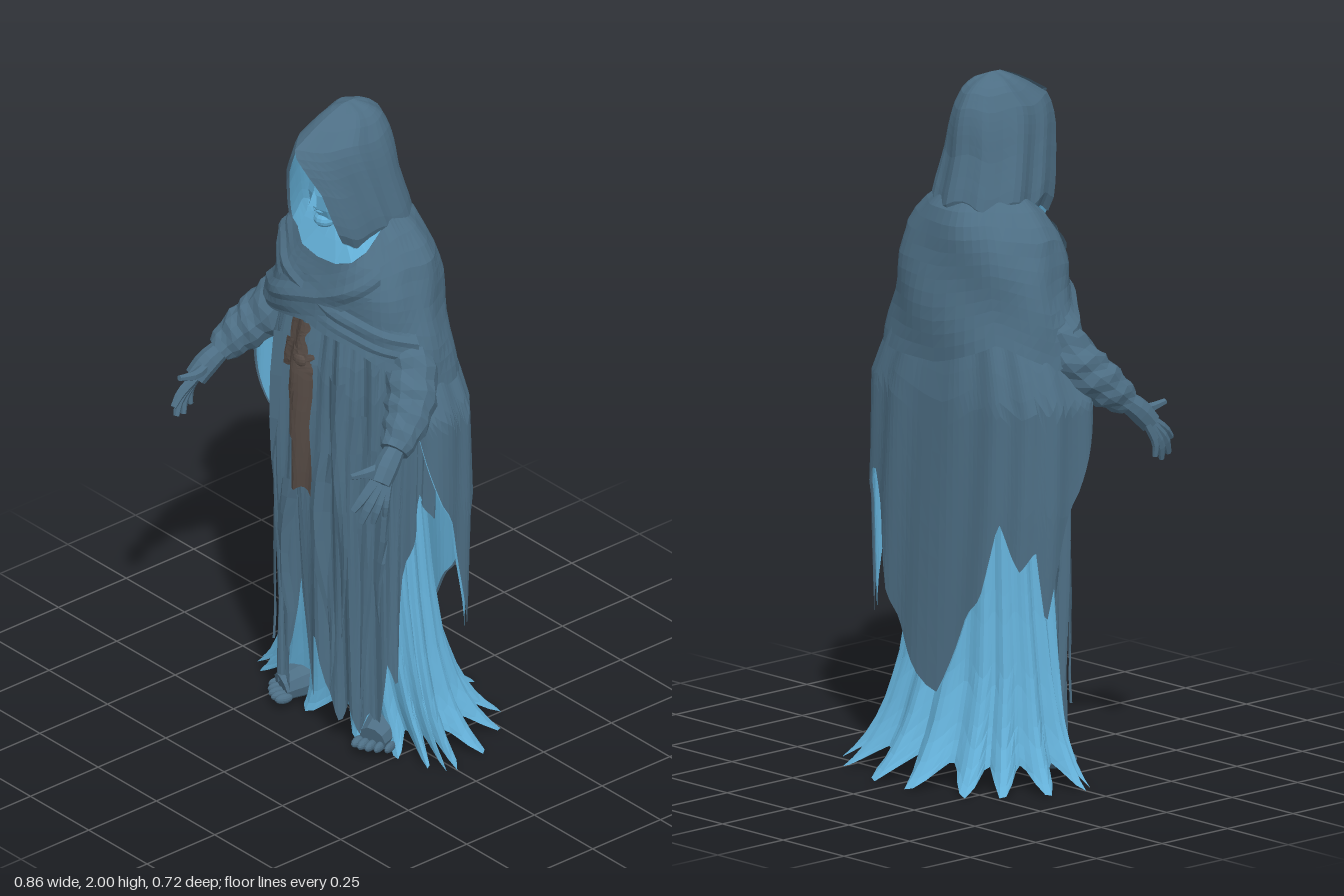
import * as THREE from 'three';

const mat = (name, color) => {
  const m = new THREE.MeshStandardMaterial({ color, flatShading: true, side: THREE.DoubleSide });
  m.name = name;
  return m;
};
const rad = THREE.MathUtils.degToRad, deg = THREE.MathUtils.radToDeg, lerp = THREE.MathUtils.lerp;
const spow = (v, p) => Math.sign(v) * Math.abs(v) ** p;

// Interpolates rows of [key, ...values], sorted by rising key
function keyed(rows, k) {
  if (k <= rows[0][0]) return rows[0].slice(1);
  for (let i = 1; i < rows.length; i++) {
    if (k <= rows[i][0]) {
      const a = rows[i - 1], b = rows[i], t = (k - a[0]) / (b[0] - a[0]);
      return a.slice(1).map((v, j) => lerp(v, b[j + 1], t));
    }
  }
  return rows[rows.length - 1].slice(1);
}

// Surface from a rule (u, v) -> [x, y, z]
function sheet(fn, nu, nv) {
  const pos = [], idx = [];
  for (let j = 0; j <= nv; j++) for (let i = 0; i <= nu; i++) pos.push(...fn(i / nu, j / nv));
  for (let j = 0; j < nv; j++) for (let i = 0; i < nu; i++) {
    const a = j * (nu + 1) + i, b = a + nu + 1;
    idx.push(a, b, a + 1, b, b + 1, a + 1);
  }
  const g = new THREE.BufferGeometry();
  g.setAttribute('position', new THREE.Float32BufferAttribute(pos, 3));
  g.setIndex(idx);
  g.computeVertexNormals();
  return g;
}

// Tapering tube through points [x, y, z, radius], closed at both ends
function limb(points, sides = 8, steps = 8, wrinkle = 0) {
  const curve = new THREE.CatmullRomCurve3(points.map(p => new THREE.Vector3(p[0], p[1], p[2])));
  const radii = points.map((p, i) => [i / (points.length - 1), p[3]]);
  const frames = curve.computeFrenetFrames(steps);
  return sheet((u, v) => {
    const t = THREE.MathUtils.clamp((v * (steps + 2) - 1) / steps, 0, 1), i = Math.round(t * steps);
    const r = v === 0 || v === 1 ? 0 : keyed(radii, t)[0] * (1 + wrinkle * Math.sin(i * 2.4 + u * 12.57));
    const c = curve.getPoint(t), a = u * Math.PI * 2;
    c.addScaledVector(frames.normals[i], r * Math.cos(a)).addScaledVector(frames.binormals[i], r * Math.sin(a));
    return c.toArray();
  }, sides, steps + 2);
}

// Point on an oval section: angle 0 is the front, positive towards +x
function oval(a, y, [rx, front, back], out) {
  const c = Math.cos(a);
  return [(rx + out) * spow(Math.sin(a), 0.85), y, c * ((c > 0 ? front : back) + out)];
}

// Cloth sections: height, half width, front depth, back depth
const ROBE = [[0.05, 0.26, 0.165, 0.2], [0.4, 0.255, 0.175, 0.18], [0.8, 0.255, 0.19, 0.17],
  [1.2, 0.265, 0.19, 0.16], [1.4, 0.22, 0.16, 0.15], [1.55, 0.15, 0.1, 0.12]];
const SHAWL = [[1.15, 0.345, 0.2, 0.205], [1.3, 0.312, 0.2, 0.197], [1.4, 0.283, 0.19, 0.19], [1.48, 0.268, 0.18, 0.183],
  [1.56, 0.24, 0.15, 0.172], [1.62, 0.19, 0.13, 0.155], [1.67, 0.13, 0.1, 0.11]];
const UNDER = [[0, 0.395, 0.08, 0.343], [0.06, 0.355, 0.08, 0.29], [0.15, 0.312, 0.095, 0.24],
  [0.3, 0.278, 0.12, 0.19], [0.5, 0.248, 0.135, 0.165], [1, 0.2, 0.13, 0.13]];
// Hem tip phase around the under robe: angle from the front, phase (whole numbers are tips)
const TIPS = [[0, -0.5], [12, 0], [35, 1], [58, 2], [75, 3], [90, 4], [109, 5], [131, 6], [147, 7], [173.5, 8], [180, 8.5]];
// Cape sections: height, half width, back depth
const CAPE = [[0.25, 0.35, 0.22], [0.4, 0.36, 0.215], [0.8, 0.375, 0.205], [1.1, 0.37, 0.198], [1.2, 0.325, 0.185], [1.32, 0.26, 0.165]];
// Hems: angle in degrees, height. The cape counts from the back
const ROBE_HEM = [[-118, 0.8], [-100, 0.82], [-85, 0.72], [-74, 0.5], [-64, 0.16], [-54, 0.3], [-46, 0.06], [-36, 0.12],
  [-28, 0.07], [-18, 0.24], [-12, 0.52], [-6, 0.46], [-2, 0.1], [3, 0.38], [8, 0.2], [18, 0.07], [26, 0.16], [34, 0.06],
  [42, 0.14], [50, 0.07], [58, 0.3], [66, 0.22], [76, 0.6], [92, 0.82], [108, 0.72], [118, 0.8]];
const CAPE_HEM = [[-112, 1.12], [-98, 0.93], [-86, 0.78], [-71, 0.48], [-62, 0.7], [-50, 0.64], [-44, 0.68], [-34, 0.78],
  [-24, 0.55], [-16, 0.5], [-2, 0.25], [8, 0.36], [14, 0.44], [22, 0.5], [28, 0.68], [38, 0.85], [50, 0.78],
  [61, 0.68], [70, 0.39], [86, 0.76], [98, 0.93], [112, 1.12]];
const SHAWL_HEM = [[-180, 1.2], [-140, 1.28], [-95, 1.2], [-60, 1.26], [-30, 1.3], [0, 1.35], [30, 1.32],
  [60, 1.25], [95, 1.19], [140, 1.2], [180, 1.2]];
// Hood: height, half width, back z, front edge z, opening half width
const HOOD = [[1.6, 0.135, -0.125, 0.145, 0.1], [1.65, 0.15, -0.14, 0.17, 0.105], [1.7, 0.142, -0.125, 0.185, 0.095],
  [1.78, 0.128, -0.105, 0.205, 0.075], [1.85, 0.116, -0.1, 0.235, 0.04], [1.905, 0.102, -0.09, 0.248, 0],
  [1.96, 0.072, -0.06, 0.155, 0], [1.985, 0.045, -0.02, 0.1, 0], [2, 0, 0.02, 0.06, 0]];

const robePoint = (a, y, out = 0) => oval(a, y, keyed(ROBE, y),
  out + 0.011 * Math.sin(13 * a + 2 * y) + 0.007 * Math.sin(29 * a - 3 * y));
const shawlPoint = (a, y, out = 0) => oval(a, y, keyed(SHAWL, y),
  out + 0.006 * Math.sin(4 * a + 20 * y) + 0.003 * Math.sin(9 * a - 14 * y));
const neckline = a => 1.67 - 0.13 * Math.max(0, Math.cos(a)) ** 2;

// Cape back, curling forward at both ends
function capePoint(b, y, inset) {
  const [w, d] = keyed(CAPE, y), r = 0.005 * Math.sin(15 * b + 3 * y) - inset;
  return [(w + r) * spow(Math.sin(b), 0.7), y, -(d + r) * spow(Math.cos(b), 0.75)];
}

// Hood wrapped from one opening edge round the back to the other
function hood(inset) {
  return sheet((u, v) => {
    const t = u * 2 - 1, s = Math.abs(t), y = 2 - 0.39 * v ** 1.5;
    const [w0, back, zf, xe] = keyed(HOOD, y), zb = back + inset, zc = lerp(zb, zf, 0.42);
    const w = Math.max(0, w0 - inset + 0.007 * v * Math.sin(t * 22)), q = Math.max(0, s * 2 - 1);
    const edge = Math.max(0, xe - inset * 0.5);
    const x = s < 0.5 ? w * Math.sin(Math.PI * s) : edge + (w - edge) * (1 - q * q);
    const z = s < 0.5 ? zc - (zc - zb + 0.008 * v * Math.cos(t * 26)) * Math.cos(Math.PI * s) : lerp(zc, zf - inset, q);
    return [Math.sign(t) * x, y - inset - 0.015 * v * Math.sin(t * 17), z];
  }, 40, 16);
}

export function createModel() {
  const model = new THREE.Group();
  const cloth = mat('slate cloth', 0x4d6e84);
  const lining = mat('pale blue lining', 0x64b0d8);
  const leather = mat('brown sash', 0x564b45);
  const add = (name, geometry, material) => {
    const m = new THREE.Mesh(geometry, material);
    m.name = name;
    model.add(m);
    return m;
  };
  const ball = (name, material, p, s, ry = 0) => {
    const m = add(name, new THREE.SphereGeometry(1, 12, 8), material);
    m.position.set(...p);
    m.scale.set(...s);
    m.rotation.y = ry;
  };

  // Flared under robe with pointed hem tips
  add('underRobe', sheet((u, v) => {
    const a = (u * 2 - 1) * Math.PI, wave = Math.cos(2 * Math.PI * keyed(TIPS, Math.abs(deg(a)))[0]);
    const y = lerp(1, 0.04 - 0.035 * wave, 1 - (1 - v) ** 1.4);
    return oval(a, y, keyed(UNDER, y), (0.006 + 0.022 * v ** 4) * wave - 0.008 + 0.008 * v ** 4);
  }, 120, 14), lining);

  // Outer robe with torn hem, open at the back under the cape
  add('outerRobe', sheet((u, v) => {
    const d = (u * 2 - 1) * 118;
    return robePoint(rad(d), lerp(1.5, keyed(ROBE_HEM, d)[0], v));
  }, 110, 16), cloth);

  // Cape with long side tails, dark outside and pale inside
  const cape = inset => sheet((u, v) => {
    const d = (u * 2 - 1) * 112;
    return capePoint(rad(d), lerp(1.32, keyed(CAPE_HEM, d)[0], v), inset);
  }, 90, 14);
  add('cape', cape(0), cloth);
  add('capeLining', cape(0.008), lining);

  // Loose torn strips over the front of the robe
  [[-48, 0.95, 0.2], [-33, 1.25, 0.12], [-19, 0.8, 0.3], [12, 0.95, 0.18], [24, 1.2, 0.36], [40, 1.1, 0.12], [54, 1, 0.42]]
    .forEach(([at, top, tip], i) => add('robeStrip', sheet((u, v) => robePoint(
      rad(at + (u - 0.5) * 13 * (1 - v * v) + 3 * Math.sin(v * 6 + i)), lerp(top, tip, v),
      0.01 + 0.008 * Math.sin(u * Math.PI)), 3, 8), cloth));

  // Shoulder shawl with a dipping neckline, and wraps crossing the chest
  add('shawl', sheet((u, v) => {
    const a = (u * 2 - 1) * Math.PI;
    return shawlPoint(a, lerp(neckline(a), keyed(SHAWL_HEM, deg(a))[0], v));
  }, 56, 12), cloth);
  [[-52, 1.55, 78, 1.33, 0.1, 0.008], [52, 1.56, -82, 1.29, 0.12, 0.016]].forEach(([a0, y0, a1, y1, w, out]) =>
    add('chestWrap', sheet((u, v) => shawlPoint(rad(lerp(a0, a1, u)),
      lerp(y0, y1, u) - 0.03 * Math.sin(u * Math.PI) + (0.5 - v) * w,
      out * Math.sin(v * Math.PI) + 0.004 * Math.sin(v * 13 + u * 4)), 20, 6), cloth));

  // Hood and its pale inside
  add('hood', hood(0), cloth);
  add('hoodLining', hood(0.008), lining);

  // Head, neck and pale collar inside the hood
  ball('face', lining, [0, 1.745, 0.075], [0.073, 0.125, 0.095]);
  ball('chin', lining, [0, 1.655, 0.128], [0.032, 0.025, 0.032]);
  ball('brow', lining, [0, 1.785, 0.145], [0.05, 0.012, 0.022]);
  ball('lips', lining, [0, 1.69, 0.148], [0.022, 0.008, 0.014]);
  const nose = add('nose', new THREE.ConeGeometry(0.016, 0.065, 4), lining);
  nose.position.set(0, 1.745, 0.166);
  nose.rotation.x = -0.2;
  add('neck', new THREE.CylinderGeometry(0.052, 0.07, 0.16, 10).translate(0, 1.62, 0.045), lining);
  add('collar', sheet((u, v) => {
    const a = (u * 2 - 1) * 1.7, rim = shawlPoint(a, neckline(a), 0.002);
    const throat = [Math.sin(a) * 0.055, 1.65, 0.045 + Math.cos(a) * 0.055];
    return throat.map((t, i) => lerp(t, rim[i], v));
  }, 14, 2), lining);

  // Sash: waist wrap, knot and hanging ends, laid on the robe
  const strap = (name, x, half, top, bottom, out, sway) => add(name, sheet((u, v) => {
    const px = x + (u - 0.5) * 2 * half + sway * v + 0.006 * Math.sin(v * 9);
    return robePoint(Math.asin(spow(px / 0.26, 1 / 0.85)),
      lerp(top, bottom, v) + 0.012 * Math.sin(u * 5 + v * 4) - 0.04 * v * Math.abs(u - 0.4), out);
  }, 6, 8), leather);
  strap('sashWrap', -0.035, 0.04, 1.35, 1.25, 0.014, 0);
  strap('sashFold', -0.03, 0.057, 1.26, 1.2, 0.022, 0);
  strap('sashEnd', -0.012, 0.035, 1.23, 0.82, 0.018, 0.008);
  strap('sashEndShort', -0.03, 0.022, 1.23, 0.98, 0.024, -0.01);
  ball('sashKnot', leather, [-0.01, 1.225, 0.212], [0.025, 0.022, 0.014]);

  for (const s of [-1, 1]) {
    const m = p => [s * p[0], ...p.slice(1)];
    // Sleeve, gathered at the cuff
    add('sleeve', limb([[0.19, 1.42, 0.02, 0.05], [0.25, 1.3, 0.03, 0.068], [0.31, 1.2, 0.075, 0.074],
      [0.352, 1.14, 0.135, 0.064], [0.375, 1.09, 0.195, 0.042]].map(m), 12, 14, 0.08), cloth);
    // Hand with four fingers and a thumb
    add('palm', limb([[0.37, 1.1, 0.18, 0.028], [0.385, 1.06, 0.23, 0.036], [0.395, 1.02, 0.265, 0.033]].map(m), 8, 5), cloth);
    for (const f of [
      [[0.38, 1.06, 0.23, 0.017], [0.364, 1.05, 0.29, 0.015], [0.366, 1.06, 0.35, 0.009]],
      [[0.385, 1.03, 0.27, 0.015], [0.39, 0.99, 0.325, 0.014], [0.385, 0.96, 0.355, 0.009]],
      [[0.395, 1.02, 0.265, 0.015], [0.403, 0.965, 0.315, 0.014], [0.396, 0.92, 0.335, 0.009]],
      [[0.403, 1.015, 0.255, 0.015], [0.413, 0.955, 0.29, 0.013], [0.406, 0.91, 0.3, 0.008]],
      [[0.407, 1.02, 0.245, 0.014], [0.42, 0.965, 0.265, 0.012], [0.417, 0.925, 0.265, 0.008]],
    ]) add('finger', limb(f.map(m), 6, 5), cloth);
    // Leg and bare foot
    add('leg', limb([[0.1, 0.6, 0, 0.06], [0.13, 0.3, -0.01, 0.05], [0.15, 0.08, -0.03, 0.04]].map(m), 8, 6), cloth);
    add('foot', limb([[0.145, 0.062, -0.085, 0.036], [0.155, 0.078, -0.01, 0.046], [0.18, 0.065, 0.07, 0.052],
      [0.195, 0.052, 0.12, 0.042]].map(m), 10, 6), cloth);
    for (let i = 0; i < 5; i++)
      ball('toe', cloth, [s * (0.158 + i * 0.021), 0.038, 0.143 - i * i * 0.003], [0.014 - i * 0.001, 0.015, 0.027], s * 0.3);
  }
  return model;
}
